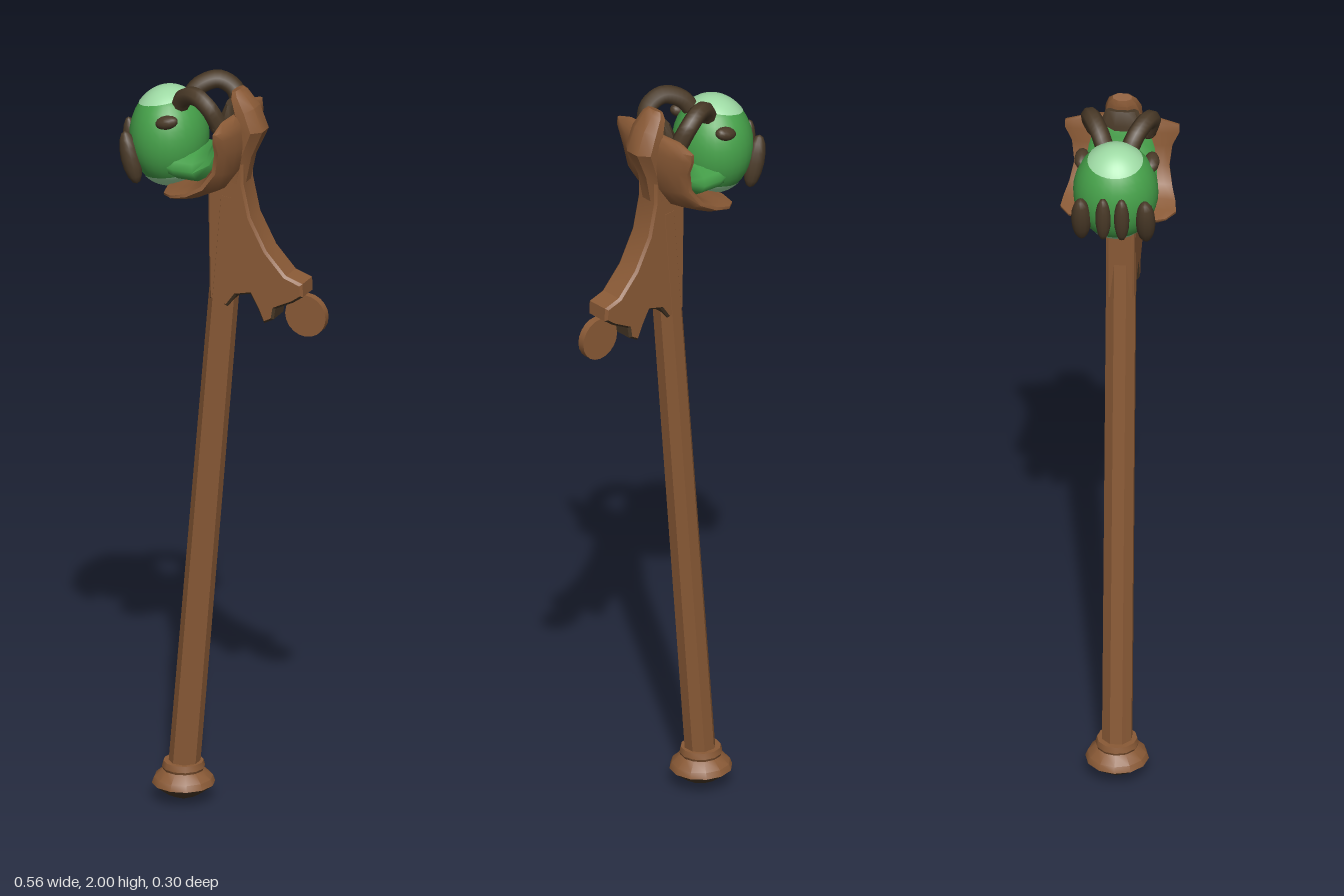
import * as THREE from 'three';
import { toCreasedNormals } from 'three/addons/utils/BufferGeometryUtils.js';

const mat = (name, color) => {
  const m = new THREE.MeshStandardMaterial({ color });
  m.name = name;
  return m;
};

// Skin over rings along a path in the xy plane; rows are [x, y, half thickness, half width in z]
function loft(rows, sides, curl = 0, crease = 0.6) {
  const pos = [], idx = [];
  rows.forEach(([x, y, a, b], i) => {
    const p = rows[Math.max(i - 1, 0)], q = rows[Math.min(i + 1, rows.length - 1)];
    const len = Math.hypot(q[0] - p[0], q[1] - p[1]);
    const nx = -(q[1] - p[1]) / len, ny = (q[0] - p[0]) / len;
    for (let j = 0; j < sides; j++) {
      const t = ((j + 0.5) / sides) * Math.PI * 2;
      const d = a * Math.cos(t) + curl * Math.sin(t) ** 2;
      pos.push(x + nx * d, y + ny * d, b * Math.sin(t));
    }
  });
  const last = (rows.length - 1) * sides, c0 = rows.length * sides;
  for (const r of [rows[0], rows[rows.length - 1]]) pos.push(r[0], r[1], 0);
  for (let j = 0; j < sides; j++) {
    const k = (j + 1) % sides;
    for (let i = 0; i < last; i += sides) {
      idx.push(i + j, i + k, i + sides + j, i + k, i + sides + k, i + sides + j);
    }
    idx.push(c0, k, j, c0 + 1, last + j, last + k);
  }
  const g = new THREE.BufferGeometry();
  g.setAttribute('position', new THREE.Float32BufferAttribute(pos, 3));
  g.setIndex(idx);
  return toCreasedNormals(g, crease);
}

export function createModel() {
  const group = new THREE.Group();
  const wood = mat('wood brown', 0x8a5a36);
  const dark = mat('dark bark', 0x4a3a28);
  const green = mat('green', 0x45a049);
  const pale = mat('pale green', 0x9edaa4);
  const add = (name, geometry, material) => {
    const m = new THREE.Mesh(geometry, material);
    m.name = name;
    group.add(m);
    return m;
  };
  const vec2 = (points) => points.map(([x, y]) => new THREE.Vector2(x, y));

  // Leaning shaft
  add('shaft', loft([[-0.123, 0.07, 0.041, 0.041], [0.015, 1.7, 0.038, 0.041]], 8), wood);

  // Foot knob with a dark sole
  const lathe = (points) => toCreasedNormals(new THREE.LatheGeometry(vec2(points), 12), 0.6);
  const knob = [[0.082, 0.048], [0.076, 0.064], [0.053, 0.085], [0.056, 0.092], [0.052, 0.108], [0, 0.108]];
  add('foot', lathe(knob), wood).position.x = -0.123;
  add('sole', lathe([[0, 0], [0.045, 0.02], [0.082, 0.048]]), dark).position.x = -0.123;

  // Side bracket, dark on its downward faces
  const outline = [[-0.04, 1.74], [-0.035, 1.41], [0.015, 1.395], [0.04, 1.43], [0.08, 1.44], [0.1, 1.405],
    [0.118, 1.365], [0.145, 1.38], [0.15, 1.41], [0.2, 1.435], [0.228, 1.455], [0.226, 1.49], [0.18, 1.505],
    [0.125, 1.565], [0.08, 1.65], [0.06, 1.74], [0.06, 1.8], [0, 1.8]];
  const bracket = toCreasedNormals(new THREE.ExtrudeGeometry(new THREE.Shape(vec2(outline)),
    { depth: 0.06, bevelThickness: 0.007, bevelSize: 0.006, bevelOffset: -0.006, bevelSegments: 1 }), 0.5);
  bracket.translate(0, 0, -0.03).clearGroups();
  const normal = bracket.getAttribute('normal');
  for (let i = 0; i < normal.count; i += 3) bracket.addGroup(i, 3, normal.getY(i) < -0.1 ? 1 : 0);
  add('bracket', bracket, [wood, dark]);

  // Thin disc at the end of the bracket
  const disc = add('disc', toCreasedNormals(new THREE.CylinderGeometry(0.057, 0.057, 0.02, 20).rotateX(Math.PI / 2), 0.6), wood);
  disc.position.set(0.225, 1.395, 0);

  // Waisted cradle bent under and behind the orb
  add('cradle', loft([
    [-0.135, 1.704, 0.008, 0.07], [-0.12, 1.706, 0.014, 0.128], [-0.09, 1.71, 0.018, 0.152],
    [-0.05, 1.718, 0.022, 0.147], [-0.005, 1.742, 0.026, 0.135], [0.028, 1.79, 0.028, 0.125],
    [0.04, 1.85, 0.027, 0.132], [0.042, 1.89, 0.024, 0.15], [0.042, 1.912, 0.019, 0.15], [0.042, 1.928, 0.01, 0.1],
  ], 16, 0.013, 0.9), wood);

  // Crooked tip above the cradle, with a dark inner lining
  add('tip', loft([
    [0.03, 1.74, 0.032, 0.04], [0.045, 1.82, 0.034, 0.042], [0.072, 1.89, 0.04, 0.052],
    [0.056, 1.935, 0.034, 0.05], [0.035, 1.975, 0.022, 0.038], [0.03, 1.988, 0.013, 0.026],
  ], 8), wood);
  add('tipLining', loft([[0.014, 1.86, 0.016, 0.045], [0.015, 1.92, 0.024, 0.055], [0.02, 1.955, 0.014, 0.042]], 10), dark);

  // Orb with pale patches above and below
  const centre = [-0.163, 1.83, 0], radii = [0.102, 0.133, 0.11];
  const orb = (size, theta, turn) => new THREE.SphereGeometry(size, 28, 18, 0, Math.PI * 2, 0, theta)
    .rotateZ(turn).scale(...radii).translate(...centre);
  add('orb', orb(1, Math.PI, 0), green);
  add('upperPatch', orb(1.012, 0.7, 0.17), pale);
  add('lowerPatch', orb(1.012, 0.82, Math.PI + 0.1), pale);

  // Green tail curling from the orb up the cradle
  add('orbTail', loft([
    [-0.16, 1.78, 0.035, 0.085], [-0.11, 1.775, 0.046, 0.098], [-0.055, 1.774, 0.046, 0.096],
    [-0.008, 1.803, 0.036, 0.092], [0.01, 1.85, 0.027, 0.085], [0.011, 1.89, 0.023, 0.074], [0.012, 1.925, 0.012, 0.055],
  ], 14, 0, 1), green);

  // Mirrored dark parts
  for (const s of [1, -1]) {
    const side = s > 0 ? 'Front' : 'Back';
    const path = new THREE.CatmullRomCurve3([[-0.122, 1.925, 0.03], [-0.098, 1.96, 0.047],
      [-0.055, 1.976, 0.07], [-0.015, 1.953, 0.08], [0.008, 1.905, 0.068]].map(([x, y, z]) => new THREE.Vector3(x, y, z * s)));
    add('horn' + side, new THREE.TubeGeometry(path, 18, 0.024, 8), dark);
    for (const t of [0, 1]) {
      const end = new THREE.SphereGeometry(0.024, 10, 8);
      add('hornEnd' + side, end, dark).position.copy(path.getPoint(t));
    }
    const blob = (name, size, at, tilt) => {
      const m = add(name + side, new THREE.SphereGeometry(1, 12, 8).scale(...size), dark);
      m.position.set(at[0], at[1], at[2] * s);
      m.rotation.z = tilt;
    };
    blob('eye', [0.032, 0.018, 0.02], [-0.13, 1.9, 0.09], 0.3);
    blob('outerClaw', [0.026, 0.072, 0.026], [-0.234, 1.785, 0.083], 0.25);
    blob('innerClaw', [0.019, 0.066, 0.02], [-0.262, 1.805, 0.024], 0.08);
  }
  return group;
}
